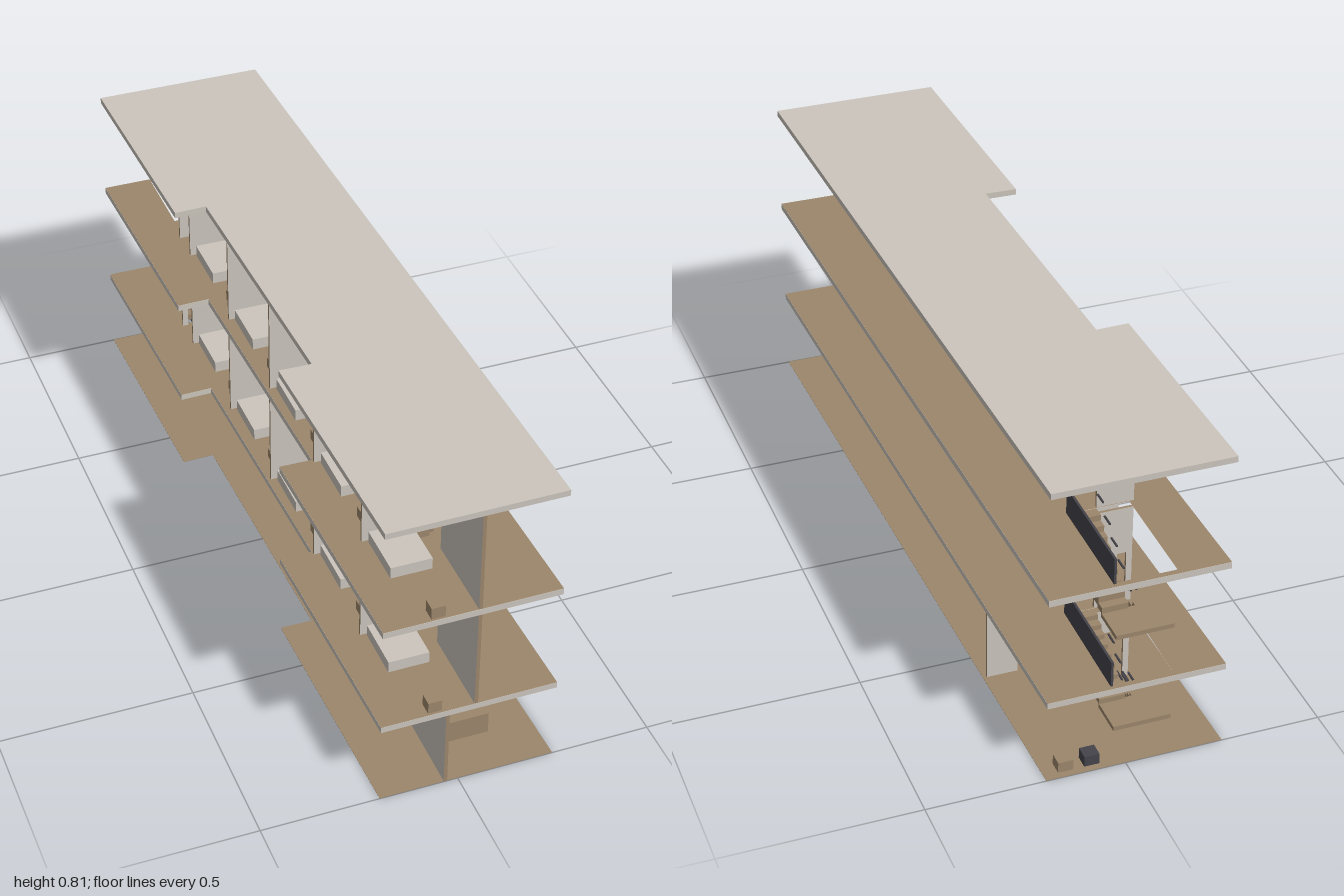
import * as THREE from 'three';

const paint = (name, color) => Object.assign(new THREE.MeshStandardMaterial({ color }), { name });

export function createModel() {
  const plaster = paint('plaster', 0xcbc5bc);
  const wood = paint('wood', 0x9c866b);
  const charcoal = paint('charcoal', 0x45444b);
  const root = new THREE.Group();
  root.name = 'building';

  const add = (name, geometry, material, parent = root) => {
    const mesh = new THREE.Mesh(geometry, material);
    mesh.name = name;
    parent.add(mesh);
    return mesh;
  };
  // Box given by its minimum and maximum corners
  const box = (name, x0, x1, y0, y1, z0, z1, material, parent) => {
    const mesh = add(name, new THREE.BoxGeometry(x1 - x0, y1 - y0, z1 - z0), material, parent);
    mesh.position.set((x0 + x1) / 2, (y0 + y1) / 2, (z0 + z1) / 2);
    return mesh;
  };
  const polygon = (points) => new THREE.Shape(points.map(([a, b]) => new THREE.Vector2(a, b)));

  // Wall elevation from u0 to u1, with door notches rising from the floor
  const DOOR = 0.145;
  const elevation = (u0, u1, y0, y1, doors) => {
    const points = [[u0, y0]];
    for (const [a, b] of doors) points.push([a, y0], [a, y0 + DOOR], [b, y0 + DOOR], [b, y0]);
    points.push([u1, y0], [u1, y1], [u0, y1]);
    return polygon(points);
  };
  const extrude = (shape, depth) => new THREE.ExtrudeGeometry(shape, { depth, bevelEnabled: false });

  // Wall across the building, lying in an x-y plane
  const crossWall = (name, x0, x1, y0, y1, z, doors, parent) => {
    const geometry = extrude(elevation(x0, x1, y0, y1, doors), 0.007);
    add(name, geometry.translate(0, 0, z - 0.0035), [plaster, wood], parent);
  };
  // Wall along the building, lying in a y-z plane
  const longWall = (name, x, z0, z1, y0, y1, doors, parent) => {
    const geometry = extrude(elevation(z0, z1, y0, y1, doors), 0.009).rotateY(-Math.PI / 2);
    add(name, geometry.translate(x + 0.009, 0, 0), [plaster, wood], parent);
  };

  // Skewed floor outline with a notch in the left side
  const outline = [
    [-0.247, -1], [0.2, -1], [0.247, 1], [-0.2, 1],
    [-0.215, 0.35], [-0.132, 0.352], [-0.15, -0.385], [-0.234, -0.383],
  ];
  const floorShape = (stairwell) => {
    const shape = polygon(outline.map(([x, z]) => [x, -z]));
    if (stairwell) {
      shape.holes.push(polygon([[-0.118, 0.695], [-0.118, 0.985], [0.033, 0.985], [0.033, 0.695]]));
    }
    return shape;
  };
  const slab = (name, y0, y1, stairwell, topped) => {
    add(name, extrude(floorShape(stairwell), y1 - y0).rotateX(-Math.PI / 2).translate(0, y0, 0), plaster);
    if (topped) {
      const cover = new THREE.ShapeGeometry(floorShape(stairwell)).rotateX(-Math.PI / 2);
      add(name + 'Covering', cover.translate(0, y1 + 0.0008, 0), wood);
    }
  };

  // Slabs
  add('groundFloor', extrude(floorShape(false), 0.001).rotateX(-Math.PI / 2).translate(0, 0.0005, 0), wood);
  slab('firstSlab', 0.214, 0.23, true, true);
  slab('secondSlab', 0.506, 0.523, true, true);
  slab('roof', 0.798, 0.814, false, false);

  // Ground floor walls
  const ground = new THREE.Group();
  ground.name = 'groundStorey';
  root.add(ground);
  longWall('groundLongWall', -0.036, -0.69, 1, 0.001, 0.214, [], ground);
  crossWall('stairWall', -0.13, 0.033, 0.001, 0.214, -0.69, [[-0.115, -0.05]], ground);
  crossWall('lobbyWall', 0.04, 0.2, 0.001, 0.214, -0.583, [[0.056, 0.12]], ground);

  // Ground floor counters and furniture
  for (let i = 0; i < 6; i++) {
    const z = 0.627 - i * 0.2175;
    box('counter', 0.055, 0.099, 0, 0.1, z - 0.058, z + 0.058, plaster, ground);
  }
  box('receptionDesk', 0.014, 0.13, 0, 0.062, 0.845, 0.88, wood, ground);
  box('darkBin', 0.06, 0.098, 0, 0.03, -0.983, -0.947, charcoal, ground);
  box('woodBin', 0.126, 0.164, 0, 0.03, -0.983, -0.947, wood, ground);

  // Two upper storeys of five rooms each
  const pitch = 0.32;
  const storeys = [
    { y: 0.231, top: 0.506, stairDoors: [[-0.115, -0.05], [-0.035, 0.028]] },
    { y: 0.524, top: 0.798, stairDoors: [[-0.035, 0.028]] },
  ];
  for (const { y, top, stairDoors } of storeys) {
    const storey = new THREE.Group();
    storey.name = 'upperStorey';
    root.add(storey);
    const doors = [];
    for (let i = 0; i < 5; i++) {
      const z = -0.6 + i * pitch;
      doors.push([z + 0.027, z + 0.09]);
      crossWall('partition', -0.13, 0.035, y, top, z, [], storey);
      box('bed', -0.115, -0.01, y, y + 0.031, z + 0.01, z + 0.15, plaster, storey);
      box('bedsideTable', -0.005, 0.028, y, y + 0.031, z + 0.005, z + 0.038, wood, storey);
      box('cabinet', -0.08, -0.045, y, y + 0.031, z + 0.28, z + 0.314, wood, storey);
      if (i < 4) box('chair', -0.105, -0.073, y, y + 0.028, z + 0.23, z + 0.262, wood, storey);
    }
    longWall('corridorWall', 0.035, -0.6, 1, y, top, doors, storey);
    crossWall('stairWall', -0.13, 0.035, y, top, -0.69, stairDoors, storey);
    box('stairGuard', 0.034, 0.04, y, y + 0.069, -0.99, -0.69, charcoal, storey);
  }

  // Flight of steps, with short handrail bars beside it
  const flight = (x0, x1, y0, y1, z0, z1, parent) => {
    const n = 9;
    const rise = (y1 - y0) / n;
    const run = (z1 - z0) / n;
    for (let i = 0; i < n; i++) {
      const a = z0 + run * i;
      const b = a + run * 1.25;
      const base = Math.max(y0, y0 + rise * (i - 0.6));
      box('step', x0, x1, base, y0 + rise * (i + 1), Math.min(a, b), Math.max(a, b), wood, parent);
      if (i % 2 === 0) {
        const y = y0 + rise * (i + 1) + 0.045;
        const x = x0 < -0.1 ? x1 - 0.004 : x0;
        box('handrailBar', x, x + 0.004, y, y + 0.004, a - 0.018, a + 0.018, charcoal, parent);
      }
    }
  };

  // Two double-flight staircases with half landings
  const stairs = [
    { y0: 0.001, mid: 0.108, y1: 0.228, start: -0.745 },
    { y0: 0.231, mid: 0.375, y1: 0.52, start: -0.71 },
  ];
  for (const { y0, mid, y1, start } of stairs) {
    const staircase = new THREE.Group();
    staircase.name = 'staircase';
    root.add(staircase);
    flight(-0.115, -0.055, y0, mid, start, -0.9, staircase);
    flight(-0.036, 0.03, mid, y1, -0.9, -0.697, staircase);
    box('landing', -0.115, 0.03, mid - 0.012, mid, -0.99, -0.895, wood, staircase);
  }

  return root;
}
